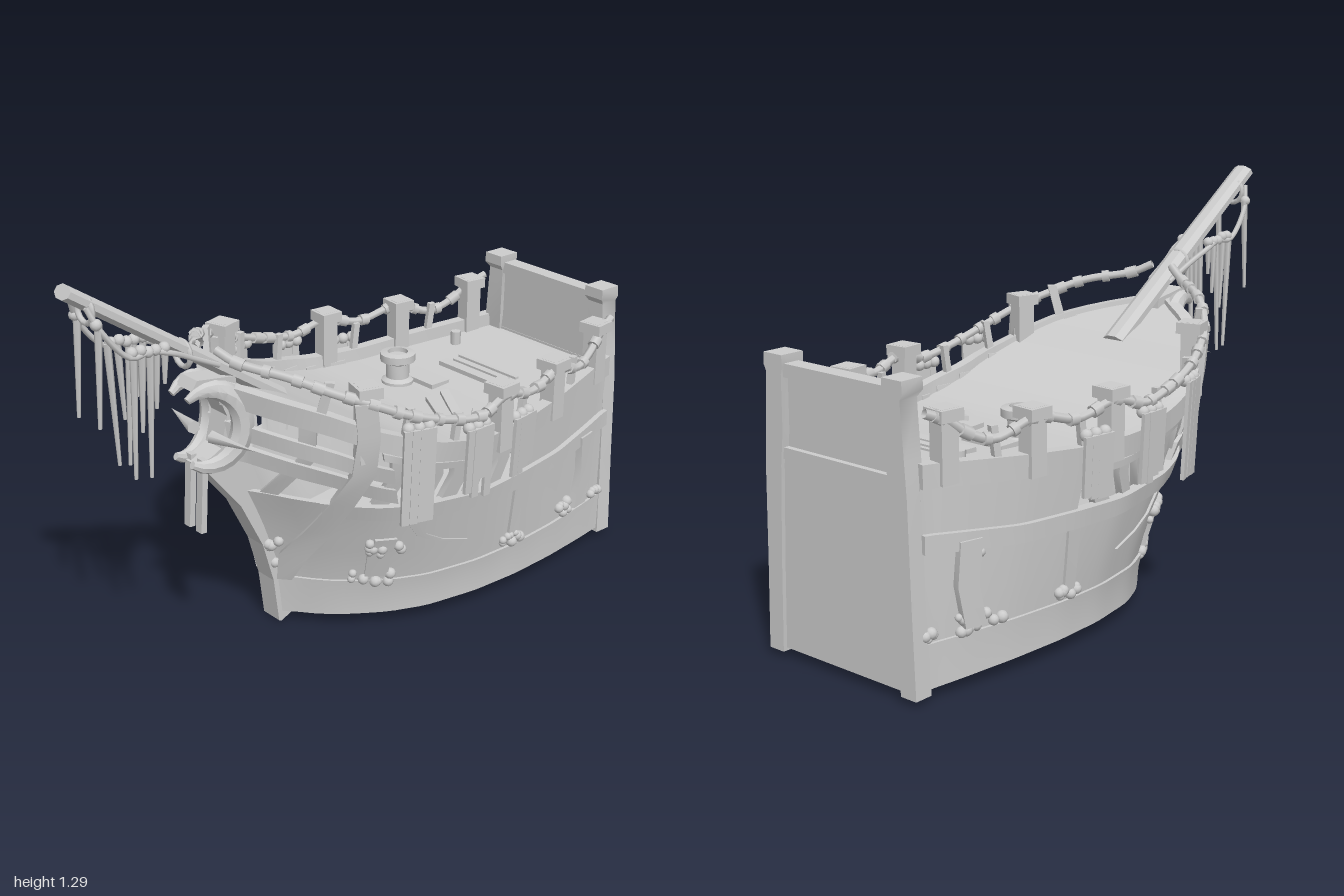
import * as THREE from 'three';
import { toCreasedNormals } from 'three/addons/utils/BufferGeometryUtils.js';

const V = (x, y, z) => new THREE.Vector3(x, y, z);
const clamp = THREE.MathUtils.clamp, lerp = THREE.MathUtils.lerp;
let seed = 7;
const rnd = () => (seed = (seed * 16807) % 2147483647) / 2147483647;

// smoothed lookup in a short list of [position, value] pairs
function table(...p) {
  const lin = v => {
    if (v <= p[0][0]) return p[0][1];
    for (let i = 1; i < p.length; i++) if (v <= p[i][0])
      return lerp(p[i - 1][1], p[i][1], (v - p[i - 1][0]) / (p[i][0] - p[i - 1][0]));
    return p[p.length - 1][1];
  };
  return v => (lin(v - 0.02) + lin(v) + lin(v + 0.02)) / 3;
}

// hull form: u runs from the bow (0) to the stern (1)
const bowX = table([0.04, -0.27], [0.2, -0.29], [0.4, -0.36], [0.6, -0.45], [0.9, -0.51]);
const wideTop = table([0, 0.02], [0.05, 0.155], [0.1, 0.25], [0.15, 0.322], [0.2, 0.375], [0.3, 0.432], [0.45, 0.45], [0.6, 0.42], [0.75, 0.38], [0.9, 0.325], [1, 0.285]);
const wideLow = table([0, 0.02], [0.05, 0.11], [0.1, 0.175], [0.2, 0.265], [0.3, 0.32], [0.45, 0.353], [0.6, 0.357], [0.75, 0.34], [0.9, 0.31], [1, 0.285]);
const railTop = table([0, 0.9], [0.14, 0.82], [0.2, 0.77], [0.34, 0.69], [0.48, 0.65], [0.62, 0.645], [0.76, 0.66], [1, 0.69]);
const beltTop = table([0, 0.52], [0.2, 0.48], [0.48, 0.45], [0.76, 0.455], [1, 0.49]);
const deckDrop = table([0, 0.01], [0.2, 0.014], [0.4, 0.04], [1, 0.045]);
const half = (u, y) => lerp(wideLow(u), wideTop(u), clamp((y - 0.1) / 0.55, 0, 1));
const xOf = (u, y) => lerp(bowX(y), 0.95, u);
const uOf = (x, y) => clamp((x - bowX(y)) / (0.95 - bowX(y)), 0, 1);

// point on the hull at u, y, moved outward by off; s is the side
function onHull(u, y, off, s) {
  const a = Math.max(0, u - 0.02), b = Math.min(1, u + 0.02);
  const n = V(half(a, y) - half(b, y), 0, xOf(b, y) - xOf(a, y)).normalize();
  return V(xOf(u, y) + n.x * off, y, s * Math.max(0, half(u, y) + n.z * off));
}
const at = (x, y, off, s) => onHull(uOf(x, y), y, off, s);
// turn about y that lines a part up with the hull side
function heading(x, s) {
  const p = at(x - 0.02, 0.66, 0, s), q = at(x + 0.02, 0.66, 0, s);
  return -Math.atan2(q.z - p.z, q.x - p.x);
}

// closed skin over a row of cross-section loops, always facing outward
function loft(sections) {
  const n = sections[0].length, m = sections.length, pts = sections.flat(), idx = [];
  for (let i = 0; i < m - 1; i++) for (let j = 0; j < n; j++) {
    const a = i * n + j, b = i * n + (j + 1) % n;
    idx.push(a, b, b + n, a, b + n, a + n);
  }
  for (let j = 1; j < n - 1; j++) {
    const e = (m - 1) * n;
    idx.push(0, j + 1, j, e, e + j, e + j + 1);
  }
  let vol = 0;
  const c = pts[0];
  for (let i = 0; i < idx.length; i += 3) {
    const [p, q, r] = [0, 1, 2].map(k => pts[idx[i + k]].clone().sub(c));
    vol += p.dot(q.cross(r));
  }
  if (vol < 0) idx.reverse();
  const g = new THREE.BufferGeometry().setFromPoints(pts);
  g.setIndex(idx);
  return toCreasedNormals(g, 0.6);
}

export function createModel() {
  const ship = new THREE.Group();
  ship.name = 'shipBow';
  const wood = new THREE.MeshStandardMaterial({ color: 0xcccccc });
  wood.name = 'plainGrey';
  wood.side = THREE.DoubleSide;
  const add = (name, geo, x = 0, y = 0, z = 0) => {
    const m = new THREE.Mesh(geo, wood);
    m.name = name;
    m.position.set(x, y, z);
    ship.add(m);
    return m;
  };
  const box = (name, w, h, d, x, y, z) => add(name, new THREE.BoxGeometry(w, h, d), x, y, z);
  const tube = (name, pts, r, n = 24) => add(name, new THREE.TubeGeometry(new THREE.CatmullRomCurve3(pts), n, r, 6));
  // lengthwise strake between two height lines
  const band = (name, s, u0, u1, lo, hi, inn, out, rows = 1) => {
    const secs = [];
    for (let i = 0; i <= 36; i++) {
      const u = lerp(u0, u1, i / 36), a = [], b = [];
      for (let k = 0; k <= rows; k++) {
        const y = lerp(lo(u), hi(u), k / rows);
        a.push(onHull(u, y, out, s));
        b.unshift(onHull(u, y, inn, s));
      }
      secs.push([...a, ...b]);
    }
    add(name, loft(secs));
  };
  // upright plank that follows the hull through [x, y] points
  const plank = (name, s, path, w, inn, out) => add(name, loft(path.map(([x, y]) => [
    at(x - w / 2, y, inn, s), at(x - w / 2, y, out, s), at(x + w / 2, y, out, s), at(x + w / 2, y, inn, s)])));

  for (const s of [1, -1]) {
    // hull walls and strakes
    band('skirt', s, 0, 1, u => 0.035 + 0.015 * Math.sin(Math.PI * u), () => 0.17, -0.012, 0.01, 2);
    band('lowerHull', s, 0, 1, () => 0.16, u => beltTop(u) - 0.01, -0.02, 0, 5);
    band('lowerBelt', s, 0.1, 1, u => beltTop(u) - 0.055, beltTop, -0.02, 0.018);
    band('upperBelt', s, 0, 1, u => railTop(u) - 0.07, railTop, -0.025, 0.014);
    band('upperHullPanel', s, 0.6, 1, u => beltTop(u) - 0.01, u => railTop(u) - 0.05, -0.02, 0, 2);
    for (const k of [0.14, 0.22]) band('bowSlat', s, 0, 0.24, u => railTop(u) - k - 0.045, u => railTop(u) - k + 0.01, -0.015, 0.006);
    band('middleSlat', s, 0.22, 0.62, u => railTop(u) - 0.105, u => railTop(u) - 0.08, -0.015, 0);
    // ribs across the open side
    for (const [x, w] of [[-0.34, 0.035], [-0.1, 0.05], [0.02, 0.07], [0.13, 0.06], [0.22, 0.04], [0.33, 0.06]]) {
      const u = uOf(x, 0.6), a = beltTop(u) - 0.02, b = railTop(u) - 0.03;
      plank('sideRib', s, [[x - 0.03, a], [x + 0.01, (a + b) / 2], [x, b]], w, -0.03, -0.004);
    }
    plank('curvedRib', s, [[-0.28, 0.17], [-0.265, 0.27], [-0.24, 0.38], [-0.22, 0.5], [-0.2, 0.62], [-0.2, 0.75], [-0.215, 0.86]], 0.055, -0.02, 0.03);
    plank('batten', s, [[0.43, 0.19], [0.43, 0.3], [0.43, 0.42]], 0.045, -0.01, 0.01);
    plank('batten', s, [[0.79, 0.19], [0.815, 0.32], [0.805, 0.45]], 0.07, -0.01, 0.025);
    plank('batten', s, [[-0.07, 0.19], [-0.08, 0.27], [-0.075, 0.34]], 0.06, -0.01, 0.014);
    plank('archPlank', s, [[0.2, 0.27], [0.1, 0.3], [0.03, 0.34], [-0.02, 0.41]], 0.03, -0.01, 0.008);

    // rail posts with caps
    for (const [x, y0, y1] of [[-0.2, 0.66, 0.905], [0.3, 0.58, 0.805], [0.59, 0.59, 0.795], [0.87, 0.62, 0.835]]) {
      const p = at(x, 0.66, -0.006, s), turn = heading(x, s) * 0.5;
      box('railPost', 0.058, y1 - y0, 0.055, p.x, (y0 + y1) / 2, p.z).rotation.y = turn;
      box('postCap', 0.078, 0.035, 0.08, p.x, y1 - 0.018, p.z).rotation.y = turn;
    }
    // rope rail with knots
    const line = [[-0.47, 0.97], [-0.38, 0.94], [-0.29, 0.895], [-0.2, 0.855], [-0.08, 0.8], [0.06, 0.755], [0.18, 0.735], [0.3, 0.765], [0.44, 0.735], [0.59, 0.765], [0.72, 0.725], [0.8, 0.75], [0.87, 0.8], [0.94, 0.83]];
    const rope = line.map(([x, y]) => at(x, y, 0.012, s));
    rope.unshift(V(-0.51, 1.0, s * 0.04));
    tube('railRope', rope, 0.014, 80);
    const curve = new THREE.CatmullRomCurve3(rope);
    for (let i = 1; i < 22; i++) {
      const p = curve.getPointAt(clamp((i + 0.5 * rnd()) / 22, 0, 1)), t = curve.getTangentAt(i / 22);
      const k = add('ropeWrap', new THREE.CylinderGeometry(0.02, 0.02, 0.02 + rnd() * 0.02, 7), p.x, p.y, p.z);
      k.quaternion.setFromUnitVectors(V(0, 1, 0), t);
    }
    for (const x of [-0.3, -0.08, 0.1, 0.42, 0.72]) {
      const y = railTop(uOf(x, 0.66)) + 0.03;
      plank('railStay', s, [[x - 0.015, y - 0.06], [x, y + 0.06]], 0.022, -0.015, 0.005);
    }
    // tattered cloths hanging straight down from the belt
    for (const [x, w, top, low, ragged] of [[-0.06, 0.095, 0.76, 0.44, 0.01], [0.16, 0.1, 0.71, 0.46, 0.08], [0.38, 0.105, 0.68, 0.46, 0.05]]) {
      for (let i = 0; i < 4; i++) {
        const y = low + rnd() * ragged, cx = x + (i - 1.5) * w / 4;
        const p = at(cx, 0.67, 0.028, s);
        const strip = box('clothStrip', w / 3.6, top - y, 0.012, p.x, (top + y) / 2, p.z);
        strip.rotation.set(s * 0.05, heading(x, s), 0, 'YXZ');
      }
      for (let i = 0; i < 3; i++) {
        const p = at(x + (i - 1) * w / 3, top, 0.016, s);
        add('clothKnot', new THREE.IcosahedronGeometry(0.02, 1), p.x, p.y, p.z);
      }
    }
    // shell clusters on the lower hull
    for (const [x, y, w, h, n] of [[-0.08, 0.3, 0.13, 0.06, 8], [-0.08, 0.18, 0.12, 0.04, 8], [0.43, 0.2, 0.09, 0.03, 8], [0.76, 0.2, 0.17, 0.05, 14], [0.8, 0.42, 0.07, 0.04, 5], [0.92, 0.19, 0.06, 0.02, 4], [-0.32, 0.27, 0.04, 0.1, 5]])
      for (let i = 0; i < n; i++) {
        const p = at(x + (rnd() - 0.5) * w, y + (rnd() - 0.5) * h, 0.006, s);
        add('shell', new THREE.IcosahedronGeometry(0.012 + rnd() * 0.008, 1), p.x, p.y, p.z);
      }

    // stern corner posts
    add('sternPost', loft([[0.02, 0.305, 0.245, 0.94], [0.3, 0.295, 0.235, 0.945], [0.6, 0.287, 0.22, 0.945], [0.7, 0.28, 0.208, 0.935], [0.87, 0.268, 0.205, 0.935], [0.89, 0.278, 0.2, 0.92], [0.925, 0.276, 0.2, 0.92]]
      .map(([y, o, i, x]) => [V(x, y, s * i), V(1, y, s * i), V(1, y, s * o), V(x, y, s * o)])));

    // crescent hooks on the stem, tips flaring outward
    const hook = [];
    for (let i = 0; i <= 16; i++) {
      const a = lerp(2.2, -2.1, i / 16), r = 0.036 * Math.sin(Math.PI * (0.1 + 0.8 * i / 16)), row = [];
      for (let j = 0; j < 8; j++) {
        const b = j * Math.PI / 4, R = 0.108 + r * Math.cos(b);
        row.push(V(-0.555 + R * Math.cos(a), 0.765 + 1.15 * R * Math.sin(a), s * (0.055 + 0.025 * Math.cos(a) + r * Math.sin(b))));
      }
      hook.push(row);
    }
    add('stemHook', loft(hook));
    const spike = add('stemSpike', new THREE.ConeGeometry(0.022, 0.17, 6), -0.52, 0.73, s * 0.13);
    spike.rotation.x = s * Math.PI / 2;
    spike.rotation.z = -0.2;

    // ropes and rags below the bowsprit
    tube('spritRope', [V(-0.94, 1.23, s * 0.04), V(-0.91, 1.16, s * 0.06), V(-0.82, 1.06, s * 0.065), V(-0.75, 1.06, s * 0.06), V(-0.68, 1.04, s * 0.065), V(-0.6, 1.0, s * 0.05), V(-0.5, 0.95, s * 0.04)], 0.009);
    for (const [x, y0, y1] of [[-0.92, 1.18, 0.87], [-0.81, 1.07, 0.68], [-0.78, 1.07, 0.82], [-0.755, 1.06, 0.67], [-0.73, 1.06, 0.88], [-0.7, 1.06, 0.95]]) {
      const m = add('hangingRag', new THREE.CylinderGeometry(0.013, 0.006, y0 - y1, 5), x, (y0 + y1) / 2, s * 0.055);
      m.rotation.z = (rnd() - 0.4) * 0.12;
      add('ragKnot', new THREE.IcosahedronGeometry(0.018, 1), x, y0, s * 0.055);
    }
    box('stemRag', 0.02, 0.24, 0.03, -0.57, 0.54, s * 0.03).rotation.z = -0.06;
    add('deckPeg', new THREE.CylinderGeometry(0.018, 0.018, 0.06, 8), 0.745, 0.645, s * 0.24);
  }

  // deck and inner floor
  const slab = (name, yf, t) => {
    const secs = [];
    for (let i = 0; i <= 36; i++) {
      const u = i / 36, y = yf(u), a = onHull(u, y, -0.01, 1), b = onHull(u, y, -0.01, -1);
      secs.push([a, b, V(b.x, y - t, b.z), V(a.x, y - t, a.z)]);
    }
    add(name, loft(secs));
  };
  slab('deck', u => railTop(u) - deckDrop(u), 0.015);
  slab('hullFloor', () => 0.17, 0.015);

  // stern wall
  box('sternLowerPanel', 0.03, 0.6, 0.5, 0.972, 0.33, 0);
  box('sternUpperPanel', 0.025, 0.24, 0.44, 0.962, 0.75, 0);
  box('sternMiddleBeam', 0.045, 0.035, 0.45, 0.97, 0.635, 0);
  box('sternTopBeam', 0.055, 0.04, 0.42, 0.965, 0.88, 0);

  // stem timber
  const stem = new THREE.Shape([[-0.29, 0.005], [-0.31, 0.16], [-0.35, 0.3], [-0.43, 0.46], [-0.55, 0.61], [-0.58, 0.64], [-0.5, 0.68], [-0.475, 0.78], [-0.52, 0.88], [-0.6, 0.89], [-0.58, 0.92], [-0.44, 0.9], [-0.42, 0.68], [-0.33, 0.45], [-0.28, 0.25], [-0.25, 0.1], [-0.22, 0.03], [-0.28, 0]].map(p => new THREE.Vector2(...p)));
  add('stem', new THREE.ExtrudeGeometry(stem, { depth: 0.08, bevelEnabled: false }), 0, 0, -0.04);

  // flat-sided bowsprit, its heel sunk into the deck
  const a = V(-0.986, 1.276, 0), b = V(-0.25, 0.78, 0);
  const spar = new THREE.CylinderGeometry(0.043, 0.039, a.distanceTo(b), 8).rotateY(Math.PI / 8).scale(0.62, 1, 1);
  const sprit = add('bowsprit', toCreasedNormals(spar, 0.4));
  sprit.position.copy(a).lerp(b, 0.5);
  sprit.quaternion.setFromUnitVectors(V(0, 1, 0), b.clone().sub(a).normalize());
  for (const [x, y] of [[-0.92, 1.21], [-0.6, 1.0]])
    add('spritRing', new THREE.TorusGeometry(0.04, 0.009, 6, 14), x, y, 0).rotation.y = Math.PI / 2;

  // deck fittings
  const capstan = [[0, 0], [0.055, 0], [0.055, 0.02], [0.04, 0.03], [0.04, 0.08], [0.06, 0.09], [0.06, 0.115], [0.035, 0.12], [0.035, 0.105], [0, 0.105]];
  add('capstan', toCreasedNormals(new THREE.LatheGeometry(capstan.map(p => new THREE.Vector2(...p)), 16), 0.5), 0.385, 0.595, -0.15);
  box('hatchPlate', 0.08, 0.02, 0.16, 0.465, 0.61, -0.1);
  for (const [x, w, l] of [[0.6, 0.04, 0.28], [0.645, 0.025, 0.25], [0.68, 0.015, 0.28]]) box('deckSlat', w, 0.02, l, x, 0.62, -0.01);
  const patch = new THREE.Shape([[0.27, -0.17], [0.34, -0.04], [0.45, -0.03], [0.46, -0.08], [0.4, -0.2], [0.31, -0.28]].map(p => new THREE.Vector2(...p)));
  add('brokenPlanks', new THREE.ExtrudeGeometry(patch, { depth: 0.015, bevelEnabled: false }).rotateX(-Math.PI / 2), 0, 0.605, 0);
  box('splinter', 0.03, 0.015, 0.17, 0.35, 0.63, 0.15).rotation.set(0.1, -0.5, 0.2);
  return ship;
}
